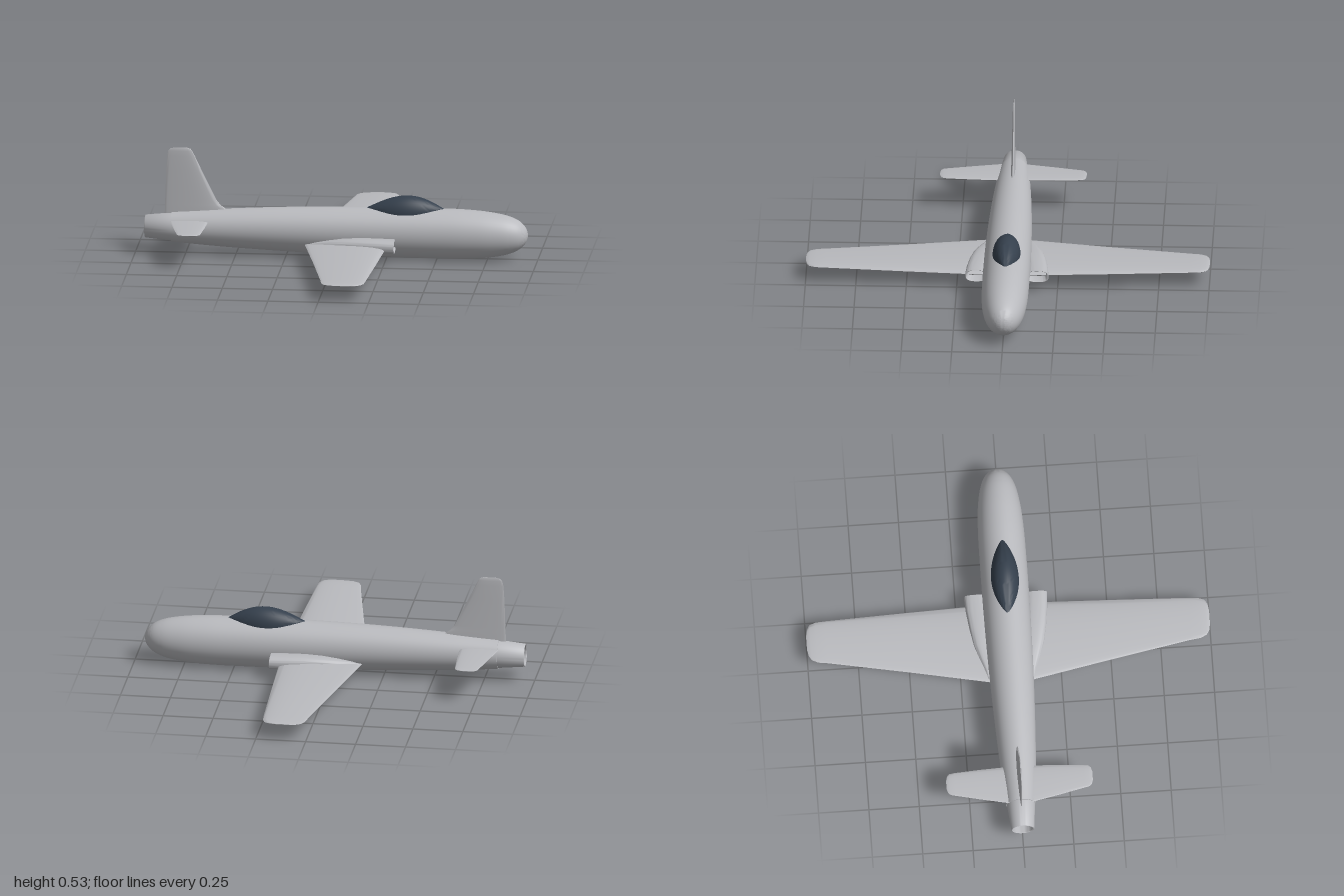
import * as THREE from 'three';
import { toCreasedNormals } from 'three/addons/utils/BufferGeometryUtils.js';

const metal = new THREE.MeshStandardMaterial({ name: 'silver grey', color: 0xb9babe });
const glass = new THREE.MeshStandardMaterial({ name: 'dark canopy', color: 0x35404d });

// Skin a list of closed rings ([x, y, z] points) and close both ends.
function loft(rings, crease = 0.7) {
  const n = rings[0].length, pos = rings.flat(2), idx = [];
  for (let r = 0; r < rings.length - 1; r++) {
    for (let i = 0; i < n; i++) {
      const a = r * n + i, b = r * n + (i + 1) % n;
      idx.push(a, b, b + n, a, b + n, a + n);
    }
  }
  const last = (rings.length - 1) * n;
  for (let i = 1; i < n - 1; i++) {
    idx.push(0, i + 1, i);
    idx.push(last, last + i, last + i + 1);
  }
  const g = new THREE.BufferGeometry();
  g.setAttribute('position', new THREE.Float32BufferAttribute(pos, 3));
  g.setIndex(idx);
  return toCreasedNormals(g, crease);
}

// Superellipse ring across x; power 1 is an ellipse, smaller is squarer.
function bodyRing(x, cy, ry, cz, rz, power = 1, n = 40) {
  const p = (v) => Math.sign(v) * Math.abs(v) ** power;
  return Array.from({ length: n }, (_, i) => {
    const a = (i / n) * Math.PI * 2;
    return [x, cy + ry * p(Math.cos(a)), cz + rz * p(Math.sin(a))];
  });
}

// Airfoil ring across z, with rounded leading edge at +x and thin trailing edge.
function foilRing(z, back, front, y, thick, n = 32) {
  return Array.from({ length: n }, (_, i) => {
    const a = (i / n) * Math.PI * 2, c = Math.cos(a);
    return [(back + front) / 2 + ((front - back) / 2) * c, y,
      z].map((v, k) => (k === 1 ? v + (thick / 2) * Math.sin(a) * (0.82 + 0.3 * c) : v));
  });
}

// Both halves of a surface in one span: stations are [z, back, front, y, thickness].
function span(stations) {
  const mirrored = stations.slice().reverse().map(([z, ...s]) => [-z, ...s]);
  return loft([...mirrored, ...stations].map((s) => foilRing(...s)), 1);
}

export function createModel() {
  const model = new THREE.Group();
  const add = (name, geometry, material = metal) => {
    const mesh = new THREE.Mesh(geometry, material);
    mesh.name = name;
    model.add(mesh);
    return mesh;
  };

  // Fuselage: [x, centre height, radius]
  const hull = new THREE.CatmullRomCurve3([
    [-0.82, 0.13, 0.075], [-0.6, 0.13, 0.092], [-0.35, 0.13, 0.106], [-0.1, 0.129, 0.116],
    [0.2, 0.127, 0.123], [0.5, 0.125, 0.125], [0.65, 0.124, 0.122], [0.77, 0.123, 0.112],
    [0.86, 0.123, 0.093], [0.91, 0.123, 0.069], [0.94, 0.123, 0.037], [0.949, 0.123, 0.012],
    [0.95, 0.123, 0.001],
  ].map((p) => new THREE.Vector3(...p)));
  add('fuselage', loft(hull.getPoints(72).map((p) => {
    const ratio = THREE.MathUtils.clamp(0.95 - 0.04 * p.x, 0.93, 0.98);
    return bodyRing(p.x, p.y, p.z, 0, p.z * ratio);
  })));

  // Hollow tail pipe, from the inner end out to the rim and back forward
  add('tailPipe', loft([
    [-0.825, 0.055], [-0.95, 0.051], [-0.953, 0.054], [-0.95, 0.057], [-0.81, 0.071],
  ].map(([x, r]) => bodyRing(x, 0.13, r, 0, r))));

  // Canopy: pointed bubble
  const canopy = [];
  for (let i = 0; i <= 32; i++) {
    const u = -1 + i / 16, k = Math.max(1 - u * u, 0.002);
    const lift = k ** 1.15 * (1 + 0.12 * u);
    canopy.push(bodyRing(0.34 + 0.2 * u, 0.246 - 0.02 * k, 0.086 * lift, 0, 0.069 * k ** 0.9));
  }
  add('canopy', loft(canopy), glass);

  // Main wing
  add('wing', span([
    [0.02, -0.165, 0.262, 0.073, 0.05], [0.5, -0.071, 0.243, 0.079, 0.034],
    [0.9, 0.003, 0.225, 0.085, 0.021], [0.95, 0.01, 0.221, 0.085, 0.018],
    [0.98, 0.025, 0.209, 0.085, 0.014], [0.994, 0.048, 0.187, 0.085, 0.009],
    [1, 0.08, 0.155, 0.085, 0.003],
  ]));

  // Tailplane
  add('tailplane', span([
    [0.01, -0.835, -0.632, 0.17, 0.016], [0.2, -0.795, -0.64, 0.17, 0.014],
    [0.32, -0.768, -0.648, 0.17, 0.011], [0.345, -0.762, -0.652, 0.17, 0.009],
    [0.357, -0.75, -0.663, 0.17, 0.006], [0.363, -0.73, -0.685, 0.17, 0.002],
  ]));

  // Tail fin: an upright foil, with a swept fillet at the root
  const fin = add('tailFin', loft([
    [0.17, -0.856, -0.52, 0, 0.026], [0.225, -0.855, -0.55, 0, 0.024],
    [0.245, -0.854, -0.578, 0, 0.022], [0.27, -0.853, -0.598, 0, 0.02],
    [0.42, -0.848, -0.672, 0, 0.015], [0.49, -0.843, -0.705, 0, 0.012],
    [0.515, -0.838, -0.718, 0, 0.01], [0.528, -0.826, -0.728, 0, 0.007],
    [0.533, -0.805, -0.745, 0, 0.002],
  ].map((s) => foilRing(...s)), 1));
  fin.rotation.x = -Math.PI / 2;

  // Side intakes: outer skin forward to the lip, then back inside the duct
  for (const [side, name] of [[1, 'leftIntake'], [-1, 'rightIntake']]) {
    add(name, loft([
      [-0.14, 0.074, 0.004, 0.108, 0.004], [-0.09, 0.077, 0.014, 0.107, 0.02],
      [-0.03, 0.081, 0.022, 0.113, 0.037], [0.04, 0.085, 0.029, 0.125, 0.049],
      [0.13, 0.088, 0.033, 0.137, 0.054], [0.22, 0.088, 0.034, 0.147, 0.055],
      [0.3, 0.088, 0.033, 0.152, 0.055], [0.302, 0.088, 0.03, 0.152, 0.051],
      [0.298, 0.088, 0.027, 0.152, 0.048], [0.2, 0.088, 0.025, 0.142, 0.044],
    ].map(([x, cy, ry, cz, rz]) => bodyRing(x, cy, ry, side * cz, rz, 0.75))));
  }

  return model;
}
